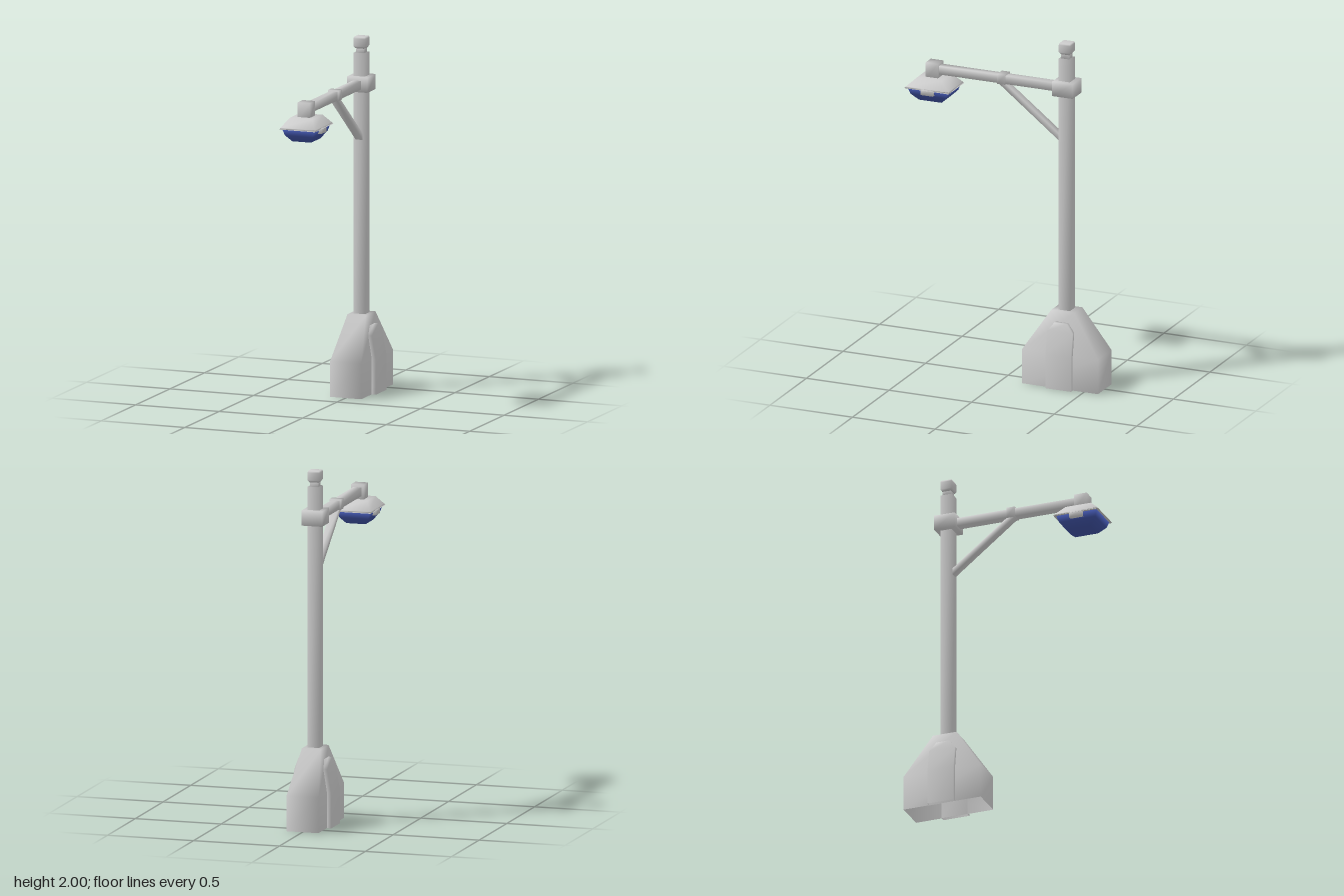
import * as THREE from 'three';

const grey = new THREE.MeshStandardMaterial({ color: 0xcccccc, side: THREE.DoubleSide });
const blue = new THREE.MeshStandardMaterial({ color: 0x3f52a5, side: THREE.DoubleSide });

// Rectangular loft with shared corners (soft shading).
// Each section is [y, halfWidth, halfDepth, xOffset].
function loft(sections, openBottom = false) {
  const pos = [], idx = [];
  for (const [y, hx, hz, cx = 0] of sections) {
    for (const [sx, sz] of [[1, 1], [1, -1], [-1, -1], [-1, 1]]) pos.push(cx + sx * hx, y, sz * hz);
  }
  for (let s = 0; s < sections.length - 1; s++) {
    for (let i = 0; i < 4; i++) {
      const a = s * 4 + i, b = s * 4 + (i + 1) % 4;
      idx.push(a, b, b + 4, a, b + 4, a + 4);
    }
  }
  const t = (sections.length - 1) * 4;
  idx.push(t, t + 1, t + 2, t, t + 2, t + 3);
  if (!openBottom) idx.push(0, 2, 1, 0, 3, 2);
  const geo = new THREE.BufferGeometry();
  geo.setAttribute('position', new THREE.Float32BufferAttribute(pos, 3));
  geo.setIndex(idx);
  geo.computeVertexNormals();
  return geo;
}

export function createModel() {
  const model = new THREE.Group();
  model.name = 'streetLamp';
  const poleZ = -0.355, lampZ = 0.447;

  const add = (name, sections, z, material = grey, open = false) => {
    const mesh = new THREE.Mesh(loft(sections, open), material);
    mesh.name = name;
    mesh.position.z = z;
    model.add(mesh);
    return mesh;
  };

  // Hollow tapered base with a rib on each side
  add('base', [[0, 0.093, 0.23], [0.2, 0.093, 0.23], [0.44, 0.055, 0.07]], poleZ, grey, true);
  for (const s of [1, -1]) {
    add(s > 0 ? 'leftBaseRib' : 'rightBaseRib', [
      [0, 0.014, 0.077, s * 0.104], [0.2, 0.014, 0.077, s * 0.104],
      [0.33, 0.012, 0.077, s * 0.082], [0.38, 0.0115, 0.038, s * 0.0735],
    ], poleZ, grey, true);
  }

  // Pole, collar and finial
  add('pole', [[0.43, 0.034, 0.034], [1.91, 0.034, 0.034]], poleZ);
  add('collar', [[1.695, 0.06, 0.062], [1.78, 0.06, 0.062]], poleZ);
  add('finialNeck', [[1.9, 0.024, 0.024], [1.95, 0.024, 0.024]], poleZ);
  add('finial', [[1.935, 0.026, 0.026], [1.948, 0.034, 0.034], [1.99, 0.034, 0.034], [2, 0.031, 0.031]], poleZ);

  // Arm with its clamp and diagonal strut
  add('arm', [[1.712, 0.024, 0.365], [1.76, 0.024, 0.365]], 0.055);
  add('armClamp', [[1.71, 0.033, 0.024], [1.767, 0.033, 0.024]], 0.029);
  const low = new THREE.Vector3(0, 1.43, -0.335), high = new THREE.Vector3(0, 1.718, 0.035);
  const dir = high.clone().sub(low), half = dir.length() / 2;
  const strut = add('strut', [[-half, 0.021, 0.015], [half, 0.021, 0.015]], 0);
  strut.position.copy(low).add(high).multiplyScalar(0.5);
  strut.quaternion.setFromUnitVectors(new THREE.Vector3(0, 1, 0), dir.normalize());

  // Lamp head: mount, shade, lens and side clips
  add('lampMount', [[1.68, 0.037, 0.038], [1.775, 0.037, 0.038]], lampZ);
  add('lampShade', [[1.634, 0.107, 0.134], [1.643, 0.102, 0.127], [1.693, 0.068, 0.075]], lampZ);
  add('lampLens', [[1.56, 0.056, 0.068], [1.598, 0.083, 0.108], [1.636, 0.095, 0.121]], lampZ, blue);
  for (const s of [1, -1]) {
    add(s > 0 ? 'leftLensClip' : 'rightLensClip',
      [[1.607, 0.012, 0.038, s * 0.094], [1.64, 0.012, 0.038, s * 0.094]], lampZ);
  }
  return model;
}
